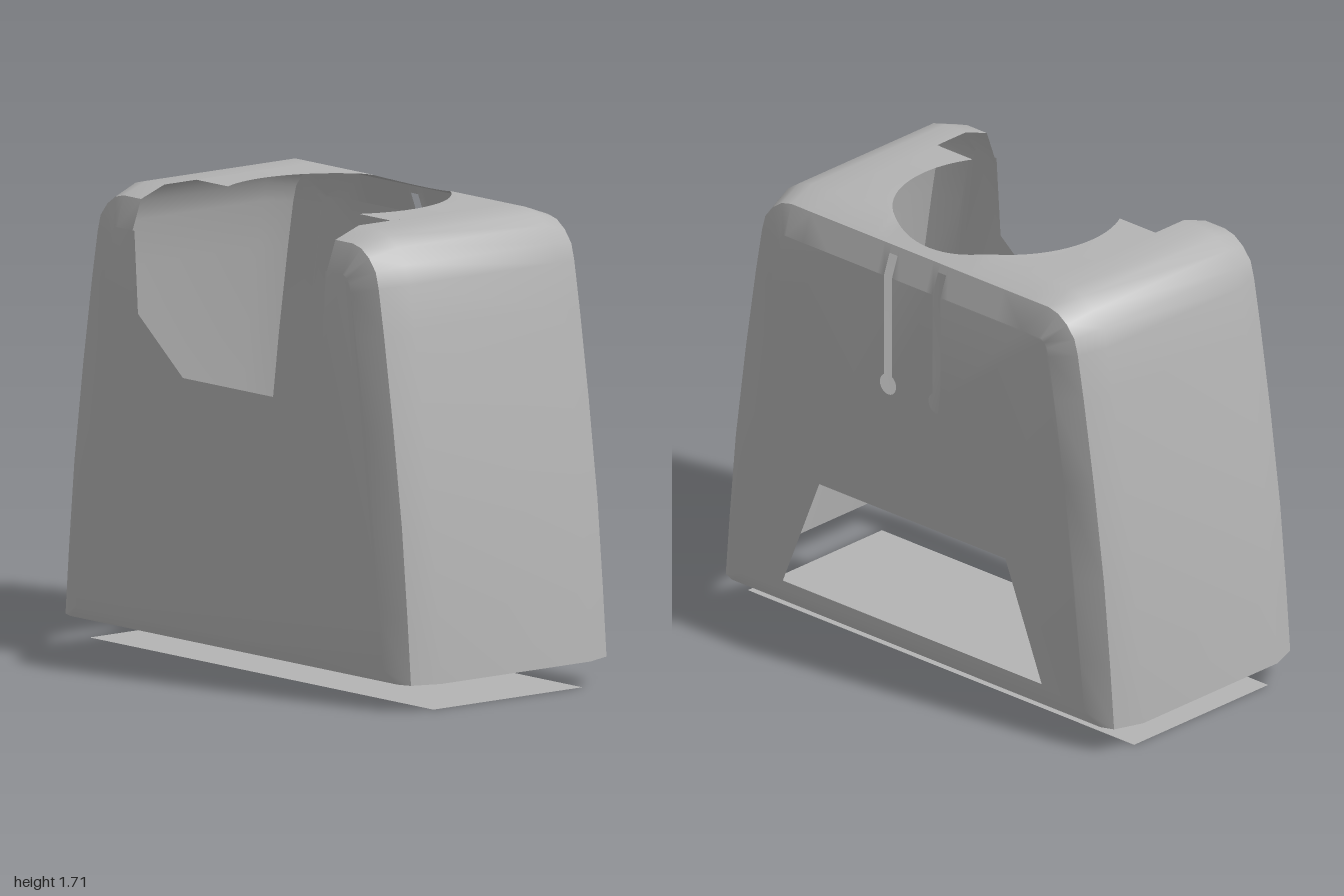
import * as THREE from 'three';
import { toCreasedNormals } from 'three/addons/utils/BufferGeometryUtils.js';

const BASE = 0.1, TOP_X = 0.54, R = 0.415;
// depth, inset of the outline at that depth
const LEVELS = [[-0.5, 0.15], [-0.46, 0.04], [-0.35, 0], [0.35, 0], [0.46, 0.04], [0.5, 0.15]];
// half outline of the housing, from the base up to the flat top
const OUTLINE = [[1, 0.1], [0.98, 0.35], [0.95, 0.67], [0.9, 1.04], [0.85, 1.36], [0.82, 1.53],
  [0.8, 1.6], [0.755, 1.657], [0.7, 1.695], [0.64, 1.71], [TOP_X, 1.71]];

// outline moved inwards along its normals
function insetOutline(d) {
  const last = OUTLINE.length - 1;
  return OUTLINE.map(([x, y], i) => {
    const p = OUTLINE[Math.max(i - 1, 0)], q = OUTLINE[Math.min(i + 1, last)];
    const tx = q[0] - p[0], ty = q[1] - p[1], l = Math.hypot(tx, ty);
    if (i === last) return [x, y - d];
    const floor = d > 0.1 ? BASE + 0.05 : BASE;
    return [x - (d * ty) / l, i === 0 ? floor : y + (d * tx) / l];
  });
}

// height of the top along z, with its bevelled edges
function topHeight(z) {
  const a = Math.abs(z);
  if (a <= 0.35) return 1.71;
  if (a <= 0.46) return 1.71 - ((a - 0.35) / 0.11) * 0.04;
  return 1.67 - ((a - 0.46) / 0.04) * 0.11;
}

function buildShell() {
  const pos = [];
  const tri = (a, b, c) => pos.push(...a, ...b, ...c);
  const quad = (a, b, c, d) => { tri(a, b, c); tri(a, c, d); };

  // side walls, lofted through the depth levels and mirrored
  const rows = LEVELS.map(([z, d]) => {
    const pts = insetOutline(d).map(([x, y]) => [x, y, z]);
    const foot = d > 0.1 ? [0.91, BASE, Math.sign(z) * 0.48] : pts[0];
    return [foot, ...pts];
  });
  const flip = ([x, y, z]) => [-x, y, z];
  for (let k = 0; k < rows.length - 1; k++) {
    for (let i = 0; i < rows[k].length - 1; i++) {
      const q = [rows[k][i], rows[k][i + 1], rows[k + 1][i + 1], rows[k + 1][i]];
      quad(...q);
      quad(...q.map(flip).reverse());
    }
  }

  // top, in columns along z that stop at the round opening
  const strip = (xs, from, to) => {
    const column = (x) => LEVELS.map(([z]) => {
      const c = Math.min(Math.max(z, from(x)), to(x));
      return [x, topHeight(c), c];
    });
    // columns also end exactly on their limits
    const full = (x) => {
      const a = from(x), b = to(x);
      return [[x, topHeight(a), a], ...column(x), [x, topHeight(b), b]];
    };
    for (let i = 0; i < xs.length - 1; i++) {
      const p = full(xs[i]), q = full(xs[i + 1]);
      for (let j = 0; j < p.length - 1; j++) quad(p[j], p[j + 1], q[j + 1], q[j]);
    }
  };
  const circle = (x) => Math.sqrt(Math.max(0, R * R - x * x));
  const arc = (x0, x1, n) => Array.from({ length: n + 1 }, (_, i) => {
    const a = Math.asin(x0 / R), b = Math.asin(x1 / R);
    return R * Math.sin(a + ((b - a) * i) / n);
  });
  const back = () => -0.5, slotEnd = () => -0.471, step = () => 0.2;
  const rear = (x) => -circle(x);
  const mirrored = (xs) => xs.map((x) => -x).reverse();
  strip(arc(-0.1, 0.1, 6), back, rear);
  for (const m of [(xs) => xs, mirrored]) {
    strip(m(arc(0.1, 0.14, 2)), slotEnd, rear);
    strip(m(arc(0.14, R, 14)), back, rear);
    strip(m(arc(0.364, R, 8)), circle, step);
    strip(m([R, TOP_X]), back, step);
  }

  // bevelled foot of the front and back walls
  const fx = rows[0][1][0];
  for (const s of [1, -1]) {
    quad([-0.91 * s, BASE, 0.48 * s], [0.91 * s, BASE, 0.48 * s],
      [fx * s, BASE + 0.05, 0.5 * s], [-fx * s, BASE + 0.05, 0.5 * s]);
  }

  // front and back walls
  const edge = insetOutline(0.15);
  const wall = (cutTop) => {
    const s = new THREE.Shape();
    edge.forEach(([x, y], i) => (i ? s.lineTo(x, y) : s.moveTo(x, y)));
    cutTop(s);
    [...edge].reverse().forEach(([x, y]) => s.lineTo(-x, y));
    s.closePath();
    return s;
  };
  const addWall = (shape, turn) => {
    const g = new THREE.ShapeGeometry(shape, 16).translate(0, 0, 0.5);
    if (turn) g.rotateY(Math.PI);
    for (const v of g.toNonIndexed().attributes.position.array) pos.push(v);
  };
  // front wall with its deep notch
  addWall(wall((s) => {
    for (const [x, y] of [[0.53, 1.56], [0.51, 1.26], [0.26, 1.06], [-0.26, 1.06], [-0.51, 1.26], [-0.53, 1.56]]) s.lineTo(x, y);
  }), false);
  // back wall with two keyhole slots and a window
  const rearWall = wall((s) => {
    for (const c of [0.12, -0.12]) {
      s.lineTo(c + 0.02, 1.56);
      s.lineTo(c + 0.02, 1.17);
      s.absarc(c, 1.135, 0.04, Math.PI / 3, (Math.PI * 2) / 3, true);
      s.lineTo(c - 0.02, 1.56);
    }
  });
  rearWall.holes.push(new THREE.Path([[-0.64, 0.19], [-0.46, 0.63], [0.46, 0.63], [0.64, 0.19]]
    .map(([x, y]) => new THREE.Vector2(x, y))));
  addWall(rearWall, true);

  const geo = new THREE.BufferGeometry();
  // drop collapsed triangles before smoothing
  const clean = [];
  const a = new THREE.Vector3(), b = new THREE.Vector3(), c = new THREE.Vector3();
  for (let i = 0; i < pos.length; i += 9) {
    a.fromArray(pos, i); b.fromArray(pos, i + 3); c.fromArray(pos, i + 6);
    b.sub(a); c.sub(a);
    if (b.cross(c).length() > 1e-7) for (let j = 0; j < 9; j++) clean.push(pos[i + j]);
  }
  geo.setAttribute('position', new THREE.Float32BufferAttribute(clean, 3));
  return toCreasedNormals(geo, 0.6);
}

export function createModel() {
  const group = new THREE.Group();
  group.name = 'holderHousing';
  const grey = new THREE.MeshStandardMaterial({ color: 0xb4b4b4, side: THREE.DoubleSide });
  grey.name = 'grey';

  const shell = new THREE.Mesh(buildShell(), grey);
  shell.name = 'shell';

  // thin sheet below the open underside
  const plate = new THREE.Mesh(new THREE.PlaneGeometry(1.91, 0.7).rotateX(-Math.PI / 2), grey);
  plate.name = 'basePlate';

  group.add(shell, plate);
  return group;
}
